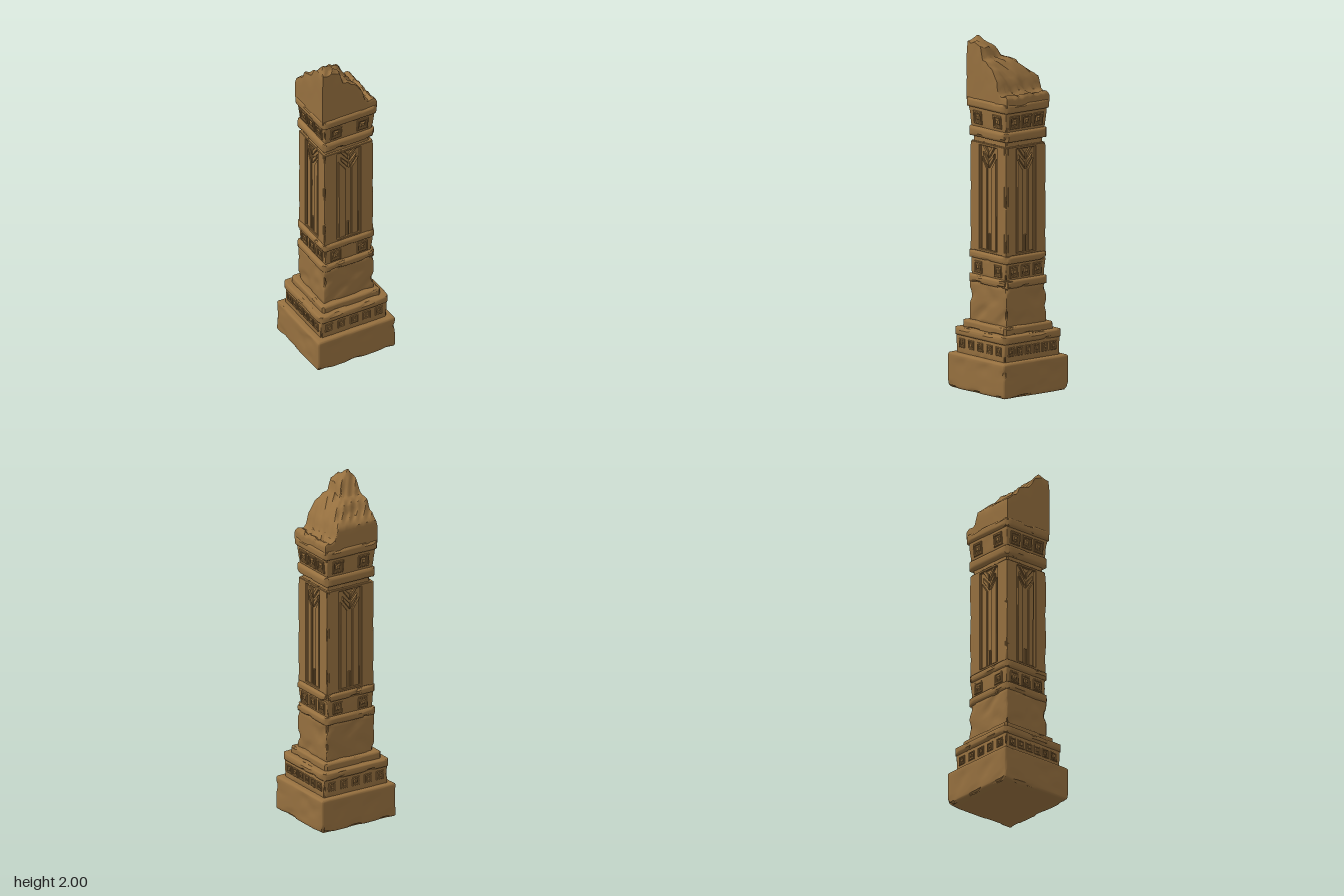
import * as THREE from 'three';
import { toCreasedNormals } from 'three/addons/utils/BufferGeometryUtils.js';

const sandstone = new THREE.MeshStandardMaterial({ color: 0x96703f });
sandstone.name = 'sandstone';

// Smooth pseudo-random value in -1..1 at a point
const noise = (x, y, z) =>
  Math.sin(x * 31 + Math.sin(y * 23 + 1.3) * 2 + z * 17) * 0.6 +
  Math.sin(y * 47 + Math.sin(z * 41 + x * 29) * 1.5) * 0.4;

// Piecewise linear profile through [position, height] points
function profile(points, t) {
  for (let i = 1; i < points.length; i++) {
    const [a, ya] = points[i - 1], [b, yb] = points[i];
    if (t <= b) return ya + (yb - ya) * Math.max(0, (t - a) / (b - a));
  }
  return points[points.length - 1][1];
}

function moveVertices(geo, rule) {
  const pos = geo.attributes.position, p = new THREE.Vector3();
  for (let i = 0; i < pos.count; i++) {
    rule(p.fromBufferAttribute(pos, i));
    pos.setXYZ(i, p.x, p.y, p.z);
  }
  geo.deleteAttribute('normal');
  geo.deleteAttribute('uv');
  return toCreasedNormals(geo, 0.65);
}

function addMesh(parent, name, geo) {
  const mesh = new THREE.Mesh(geo, sandstone);
  mesh.name = name;
  parent.add(mesh);
  return mesh;
}

// Worn block from y0 to y1 with rounded edges, cut corners and chipped arrises
function addStone(parent, name, hx, hz, y0, y1, { r = 0.01, cut = 0, chip = 0.012, dent = 0.002, taper = 0 } = {}) {
  const hy = (y1 - y0) / 2, n = 16, half = new THREE.Vector3(hx, hy, hz);
  const ny = hy > 0.08 ? 16 : 8, seg = new THREE.Vector3(n, ny, n);
  const inner = new THREE.Vector3(), q = new THREE.Vector3();
  const geo = moveVertices(new THREE.BoxGeometry(2 * hx, 2 * hy, 2 * hz, n, ny, n), p => {
    // Pack the outer rows into the rounded border
    for (const a of ['x', 'y', 'z']) {
      const h = half[a], s = seg[a], i = Math.round((p[a] / h + 1) / 2 * s), c = h - r;
      p[a] = i <= 2 ? -h + r * i / 2 : i >= s - 2 ? h - r * (s - i) / 2 : -c + 2 * c * (i - 2) / (s - 4);
      inner[a] = THREE.MathUtils.clamp(p[a], -c, c);
    }
    q.copy(p).sub(inner);
    const edges = ['x', 'y', 'z'].filter(a => Math.abs(q[a]) > 1e-5).length;
    if (q.length() > 1e-6) p.copy(inner).addScaledVector(q.normalize(), r);
    const s = cut - (hx - Math.abs(p.x)) - (hz - Math.abs(p.z));
    if (s > 0) {
      p.x -= Math.sign(p.x) * s / 2;
      p.z -= Math.sign(p.z) * s / 2;
    }
    const v = noise(p.x, p.y + y0, p.z);
    const wear = (edges > 1 ? Math.max(0, v - 0.45) * chip * 2 : 0) + Math.max(0, v) * dent;
    const k = 1 + taper * p.y / hy;
    p.x *= (1 - wear / hx) * k;
    p.z *= (1 - wear / hz) * k;
    p.y += (y0 + y1) / 2;
  });
  return addMesh(parent, name, geo);
}

// Runs a builder on each side, facing outwards
function onFourSides(parent, name, hx, hz, build) {
  for (let k = 0; k < 4; k++) {
    const side = new THREE.Group();
    side.name = name;
    side.rotation.y = k * Math.PI / 2;
    parent.add(side);
    build(side, k % 2 ? hx : hz, k % 2 ? hz : hx, k % 2 === 1);
  }
}

function polygon(points) {
  return new THREE.Shape(points.map(([x, y]) => new THREE.Vector2(x, y)));
}
const rect = (x0, x1, y0, y1) => polygon([[x0, y0], [x1, y0], [x1, y1], [x0, y1]]);

function slab(shape, depth, bevel = 0.003) {
  return new THREE.ExtrudeGeometry(shape, {
    depth: depth - bevel, bevelThickness: bevel, bevelSize: bevel, bevelOffset: -bevel, bevelSegments: 1,
  });
}

// Square frame with a boss in the middle
const frameShape = rect(-0.032, 0.032, -0.034, 0.034);
frameShape.holes.push(rect(-0.02, 0.02, -0.021, 0.021));
const frameGeo = slab(frameShape, 0.008);
const bossGeo = new THREE.CylinderGeometry(0.012, 0.021, 0.008, 4)
  .rotateY(Math.PI / 4).toNonIndexed().rotateX(Math.PI / 2).translate(0, 0, 0.004);
bossGeo.computeVertexNormals();

function addStuds(parent, hx, hz, y, xsFront, xsSide, size, tilt = 0) {
  onFourSides(parent, 'friezeSide', hx, hz, (side, dist, half, lateral) => {
    for (const x of lateral ? xsSide : xsFront) {
      const stud = new THREE.Group();
      stud.name = 'friezeStud';
      stud.position.set(x, y, dist - 0.001);
      stud.rotation.x = tilt;
      stud.scale.set(size, size, 1);
      addMesh(stud, 'studFrame', frameGeo);
      addMesh(stud, 'studBoss', bossGeo);
      side.add(stud);
    }
  });
}

// Carved panel on each shaft face: raised surround, pointed stiles and chevrons
function addPanels(parent, hx, hz, y0, y1) {
  onFourSides(parent, 'shaftPanel', hx, hz, (side, dist, half) => {
    const place = (name, geo, z = 0) => { addMesh(side, name, geo).position.z = dist - 0.014 + z; };
    const w = half * 0.47, e = half - 0.014;
    const surround = rect(-e, e, y0, y1);
    surround.holes.push(rect(-w, w, y0 + 0.015, y1 - 0.015));
    place('panelSurround', slab(surround, 0.014));
    for (const s of [-1, 1]) {
      const flip = pts => polygon(pts.map(([x, y]) => [x * s, y]));
      place('panelStile', slab(flip([[0.018, y0 + 0.015], [w - 0.012, y0 + 0.015],
        [w - 0.012, y1 - 0.08], [0.018, y1 - 0.14]]), 0.009));
      for (const dy of [0, 0.055]) {
        place('panelChevron', slab(flip([[0.002, y1 - 0.135 + dy], [0.048, y1 - 0.075 + dy],
          [0.048, y1 - 0.05 + dy], [0.002, y1 - 0.1 + dy]]), 0.01), 0.001);
      }
    }
    place('panelRib', slab(rect(-0.006, 0.006, y0 + 0.015, y0 + 0.11), 0.008));
  });
}

// Broken stump: a box whose top follows two slopes with steps and lumps
function addBrokenTop(parent) {
  const y0 = 1.635;
  const acrossX = [[-0.175, 1.97], [-0.15, 2.005], [-0.12, 1.985], [-0.06, 1.945], [-0.045, 1.89],
    [0.0, 1.87], [0.05, 1.825], [0.09, 1.77], [0.105, 1.715], [0.14, 1.69], [0.16, 1.705], [0.175, 1.69]];
  const acrossZ = [[-0.155, 1.77], [-0.13, 1.795], [-0.08, 1.83], [-0.06, 1.865], [0, 1.885],
    [0.05, 1.95], [0.08, 1.98], [0.1, 2.005], [0.155, 1.97]];
  const geo = moveVertices(new THREE.BoxGeometry(0.35, 1, 0.31, 32, 8, 28), p => {
    const t = p.y + 0.5, wob = noise(p.x * 1.5, 0.4, p.z * 1.5);
    const top = Math.min(profile(acrossX, p.x + wob * 0.006), profile(acrossZ, p.z + wob * 0.006))
      - 0.012 * Math.abs(noise(p.x * 2, 0.2, p.z * 2));
    p.y = y0 + (top - y0) * t;
    const worn = 1 - 0.02 * Math.max(0, noise(p.x, p.y, p.z)) * t - 0.03 * t ** 8;
    p.x *= worn;
    p.z *= worn;
  });
  addMesh(parent, 'brokenTop', geo);
}

export function createModel() {
  const pillar = new THREE.Group();
  pillar.name = 'brokenPillar';
  const moulding = { r: 0.016, cut: 0.028, chip: 0.012 };

  // Plinth and stepped foot
  addStone(pillar, 'plinth', 0.249, 0.235, 0, 0.2, { r: 0.014, chip: 0.018, dent: 0.006 });
  addStone(pillar, 'footFrieze', 0.212, 0.2, 0.19, 0.31, { r: 0.006 });
  addStone(pillar, 'footMoulding', 0.226, 0.217, 0.3, 0.346, moulding);
  addStone(pillar, 'footStep', 0.188, 0.18, 0.34, 0.387, { r: 0.012, cut: 0.015 });
  addStuds(pillar, 0.21, 0.198, 0.257, [-0.16, -0.08, 0, 0.08, 0.16], [-0.15, -0.09, -0.03, 0.03, 0.09, 0.15], 0.75);

  // Lower drum and its banded frieze
  addStone(pillar, 'lowerDrum', 0.161, 0.147, 0.38, 0.61, { r: 0.008, chip: 0.02, dent: 0.009 });
  addStone(pillar, 'lowerMoulding', 0.174, 0.16, 0.603, 0.65, moulding);
  addStone(pillar, 'lowerFrieze', 0.152, 0.143, 0.64, 0.75, { r: 0.006, taper: 0.02 });
  addStone(pillar, 'upperBandMoulding', 0.173, 0.159, 0.742, 0.786, moulding);
  addStuds(pillar, 0.151, 0.142, 0.695, [-0.085, 0.085], [-0.085, 0, 0.085], 1);

  // Main shaft with carved panels
  addStone(pillar, 'shaftCore', 0.143, 0.131, 0.78, 1.45, { r: 0.008, dent: 0.004 });
  addPanels(pillar, 0.157, 0.145, 0.786, 1.405);
  for (const sx of [-1, 1]) for (const sz of [-1, 1]) {
    const post = addStone(pillar, 'shaftCorner', 0.018, 0.018, 0.782, 1.405, { r: 0.005, chip: 0.014, dent: 0.002 });
    post.position.set(sx * 0.139, 0, sz * 0.127);
  }

  // Capital
  addStone(pillar, 'capitalLowerMoulding', 0.173, 0.159, 1.433, 1.492, { ...moulding, r: 0.02 });
  addStone(pillar, 'capitalFrieze', 0.158, 0.147, 1.485, 1.61, { r: 0.006, taper: 0.04 });
  addStone(pillar, 'capitalUpperMoulding', 0.183, 0.169, 1.6, 1.652, moulding);
  addStuds(pillar, 0.158, 0.147, 1.545, [-0.085, 0.085], [-0.085, 0, 0.085], 1.1, 0.1);

  addBrokenTop(pillar);
  return pillar;
}
